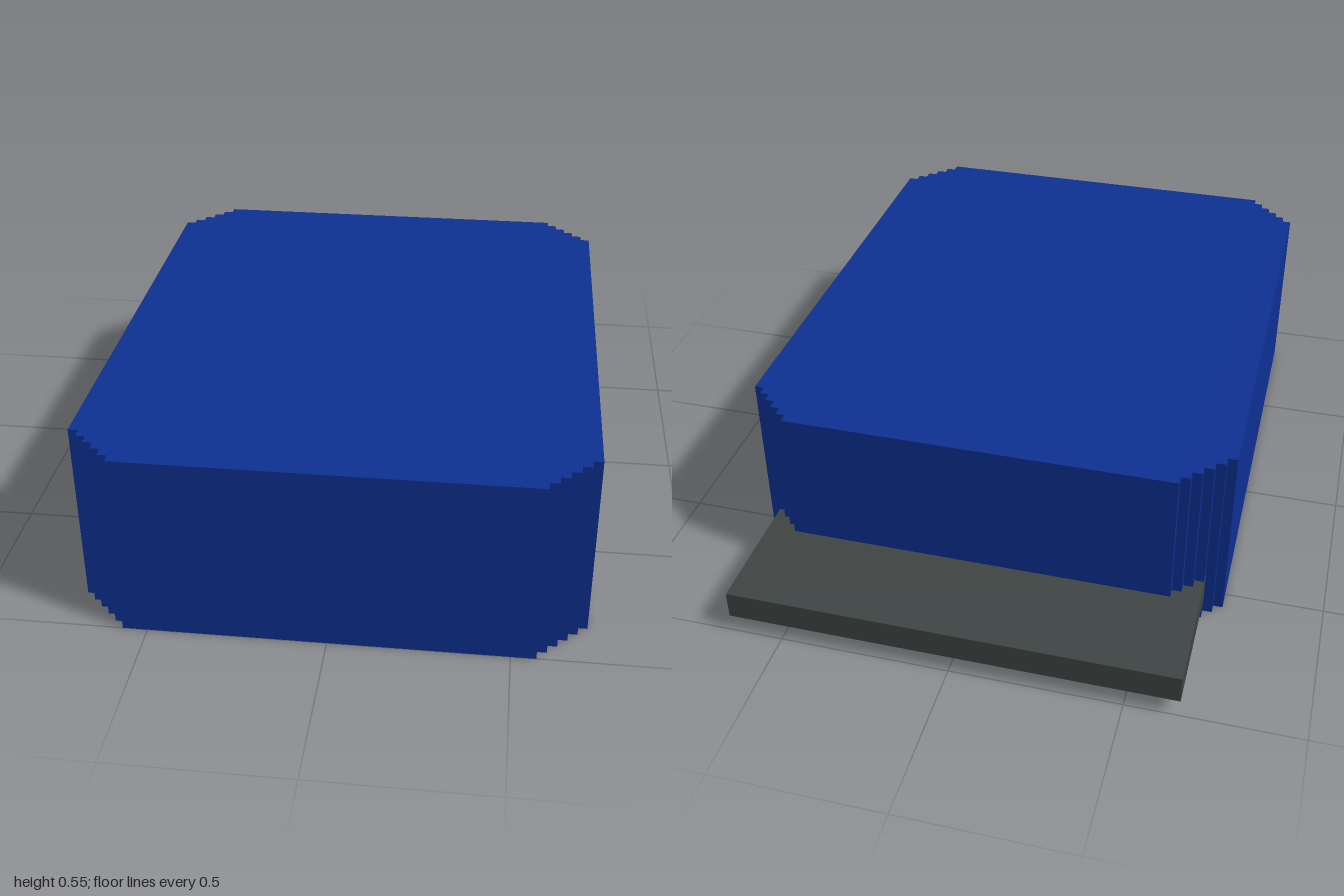
import * as THREE from 'three';

const STEPS = 5, STEP = 0.028;
const HALF_X = 0.71, FRONT = 1, BACK = -0.697, HEIGHT = 0.55;

// Rectangular footprint whose corners are cut as small staircases
function steppedOutline() {
  const cz = (FRONT + BACK) / 2, hz = (FRONT - BACK) / 2;
  const cut = STEPS * STEP;
  const corner = [[HALF_X, hz - cut]];
  for (let i = STEPS - 1; i >= 0; i--) {
    const x = HALF_X - cut + i * STEP, z = hz - i * STEP;
    corner.push([x, z - STEP], [x, z]);
  }
  const flipped = [...corner].reverse();
  const points = [
    ...corner,
    ...flipped.map(([x, z]) => [-x, z]),
    ...corner.map(([x, z]) => [-x, -z]),
    ...flipped.map(([x, z]) => [x, -z]),
  ];
  // shape y becomes -z once the extrusion is laid flat
  return new THREE.Shape(points.map(([x, z]) => new THREE.Vector2(x, z - cz)));
}

export function createModel() {
  const blue = new THREE.MeshStandardMaterial({ color: 0x0d3093 });
  blue.name = 'deep blue';
  const grey = new THREE.MeshStandardMaterial({ color: 0x3f4544 });
  grey.name = 'dark grey';

  const model = new THREE.Group();
  model.name = 'steppedBlockWithLedge';

  // Main block
  const bodyGeometry = new THREE.ExtrudeGeometry(steppedOutline(), { depth: HEIGHT, bevelEnabled: false });
  bodyGeometry.rotateX(-Math.PI / 2);
  const body = new THREE.Mesh(bodyGeometry, blue);
  body.name = 'body';
  model.add(body);

  // Flat ledge projecting from the back, rooted inside the block
  const ledge = new THREE.Mesh(new THREE.BoxGeometry(1.31, 0.084, 0.44), grey);
  ledge.name = 'rearLedge';
  ledge.position.set(0, 0.097, -0.78);
  model.add(ledge);

  return model;
}
